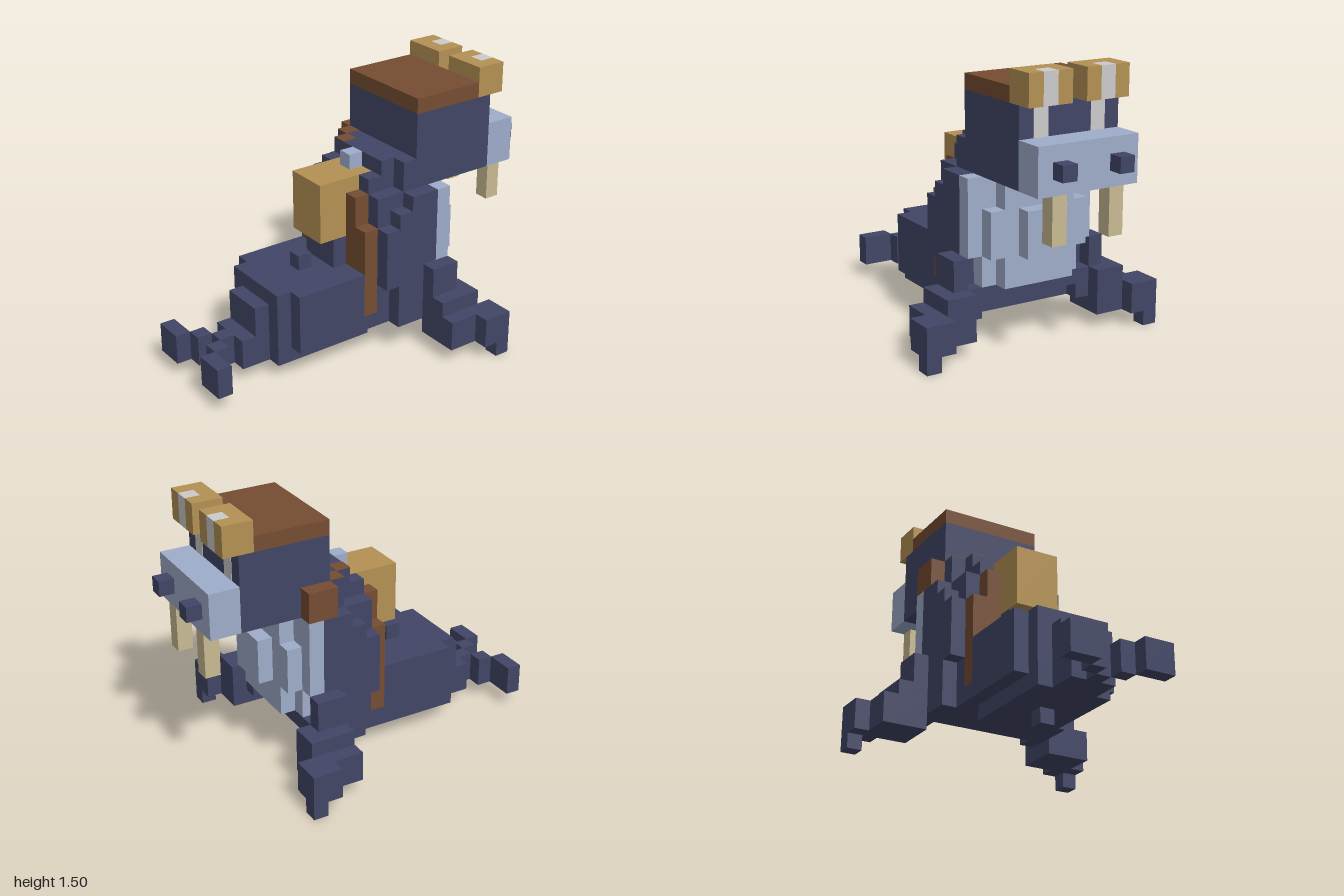
import * as THREE from 'three';

const U = 1 / 12; // size of one block

export function createModel() {
  const root = new THREE.Group();
  root.name = 'blockWalrus';
  const mat = (name, hex) => {
    const m = new THREE.MeshStandardMaterial({ color: hex });
    m.name = name;
    return m;
  };
  const navy = mat('navy hide', 0x424666);
  const blue = mat('pale blue skin', 0x9fadca);
  const brown = mat('brown leather', 0x754d32);
  const tan = mat('tan canvas', 0xb59155);
  const ivory = mat('ivory', 0xc9ba92);
  const glass = mat('grey glass', 0xcccccc);

  // Box given by its limits in block units
  function box(name, m, x0, x1, y0, y1, z0, z1) {
    const g = new THREE.BoxGeometry((x1 - x0) * U, (y1 - y0) * U, (z1 - z0) * U);
    const mesh = new THREE.Mesh(g, m);
    mesh.name = name;
    mesh.position.set((x0 + x1) / 2 * U, (y0 + y1) / 2 * U, (z0 + z1) / 2 * U);
    root.add(mesh);
  }
  // Box centred on x = 0
  const mid = (name, m, hw, ...r) => box(name, m, -hw, hw, ...r);
  // Mirrored pair of boxes
  function pair(name, m, x0, x1, ...r) {
    box(name + 'Left', m, x0, x1, ...r);
    box(name + 'Right', m, -x1, -x0, ...r);
  }

  // Head, muzzle, tusks
  mid('head', navy, 3.5, 11, 16, -9, -3);
  mid('muzzle', blue, 3.5, 11, 14, -11, -9);
  pair('nostril', navy, 1.5, 2.5, 12, 13, -12, -11);
  pair('tusk', ivory, 1.5, 2.5, 8, 11, -11, -10);
  pair('eye', glass, 1.5, 2.5, 14, 16, -9.03, -8.97);

  // Cap and goggles
  mid('cap', brown, 3.5, 16, 17, -8, -3);
  pair('goggleBack', tan, 0.5, 3.5, 16, 18, -9, -8);
  pair('goggleInner', tan, 0.5, 1.5, 16, 18, -10, -9);
  pair('goggleOuter', tan, 2.5, 3.5, 16, 18, -10, -9);
  pair('lens', glass, 1.5, 2.5, 16, 18, -10, -9);

  // Torso and shoulders
  mid('torso', navy, 3.5, 2, 11, -4, 0);
  mid('lowerChest', navy, 3.5, 3, 4, -5, -4);
  mid('neck', navy, 3.5, 11, 13, -3, -2);
  mid('nape', navy, 2.5, 11, 13, -2, -1);
  pair('upperBack', navy, 1.5, 2.5, 11, 12, -1, 0);
  pair('flank', navy, 3.5, 4.5, 4, 11, -4, -2);
  pair('flankMiddle', navy, 3.5, 4.5, 4, 10, -2, -1);
  pair('flankRear', navy, 3.5, 4.5, 5, 9, -1, 0);
  pair('hip', navy, 3.5, 4.5, 2, 4, -5, -1);

  // Belly
  mid('bellyBase', blue, 3.5, 4, 11, -5, -4);
  pair('bellySide', blue, 3.5, 4.5, 6, 11, -5, -4);
  mid('bellyMiddle', blue, 3.5, 6, 9, -6, -5);
  mid('bellyTop', blue, 2.5, 9, 11, -6, -5);
  mid('bellyBottom', blue, 2.5, 4, 6, -6, -5);
  mid('bellyPanel', blue, 1.5, 6, 9, -7, -6);

  // Front flippers
  pair('upperArm', navy, 4.5, 5.5, 4, 6, -5, -3);
  pair('elbow', navy, 4.5, 6.5, 3, 4, -6, -3);
  pair('forearm', navy, 4.5, 7.5, 1, 3, -6, -3);
  pair('hand', navy, 6.5, 8.5, 1, 3, -7, -5);
  pair('claw', navy, 7.5, 8.5, 0, 1, -7, -6);

  // Hind body and tail
  mid('hindBody', navy, 3.5, 2, 3, 0, 1);
  mid('rump', navy, 3.5, 2, 6, 1, 6);
  mid('rumpEnd', navy, 2.5, 2, 6, 6, 7);
  mid('underside', navy, 2.5, 1, 2, 0, 7);
  mid('tailBase', navy, 1.5, 1, 5, 7, 8);
  mid('tailMiddle', navy, 1.5, 1, 3, 8, 9);
  mid('tailTip', navy, 0.5, 1, 3, 9, 10);
  pair('flukeRoot', navy, 0.5, 1.5, 1, 3, 10, 11);
  pair('fluke', navy, 1.5, 3.5, 1, 3, 11, 12);
  mid('backBump', navy, 0.5, 6, 7, 3, 4);
  mid('bellyPeg', navy, 0.5, 0, 1, 3, 4);

  // Backpack, its side panels and the shoulder strap
  mid('backpack', tan, 1.5, 8, 12, -1, 3);
  mid('packRest', navy, 1.5, 3, 8, 0, 2);
  mid('packButton', blue, 0.5, 12, 13, -1, 0);
  pair('packPanelInner', brown, 1.5, 2.5, 3, 11, 0, 1);
  pair('packPanelOuter', brown, 2.5, 3.5, 3, 9, 0, 1);
  box('strap', brown, -4.5, -3.5, 11, 13, -5, -3);
  box('strapUpper', brown, -3.5, -2.5, 12.98, 13.04, -3, -2);
  box('strapLower', brown, -2.5, -1.5, 12.98, 13.04, -2, -1);

  return root;
}
